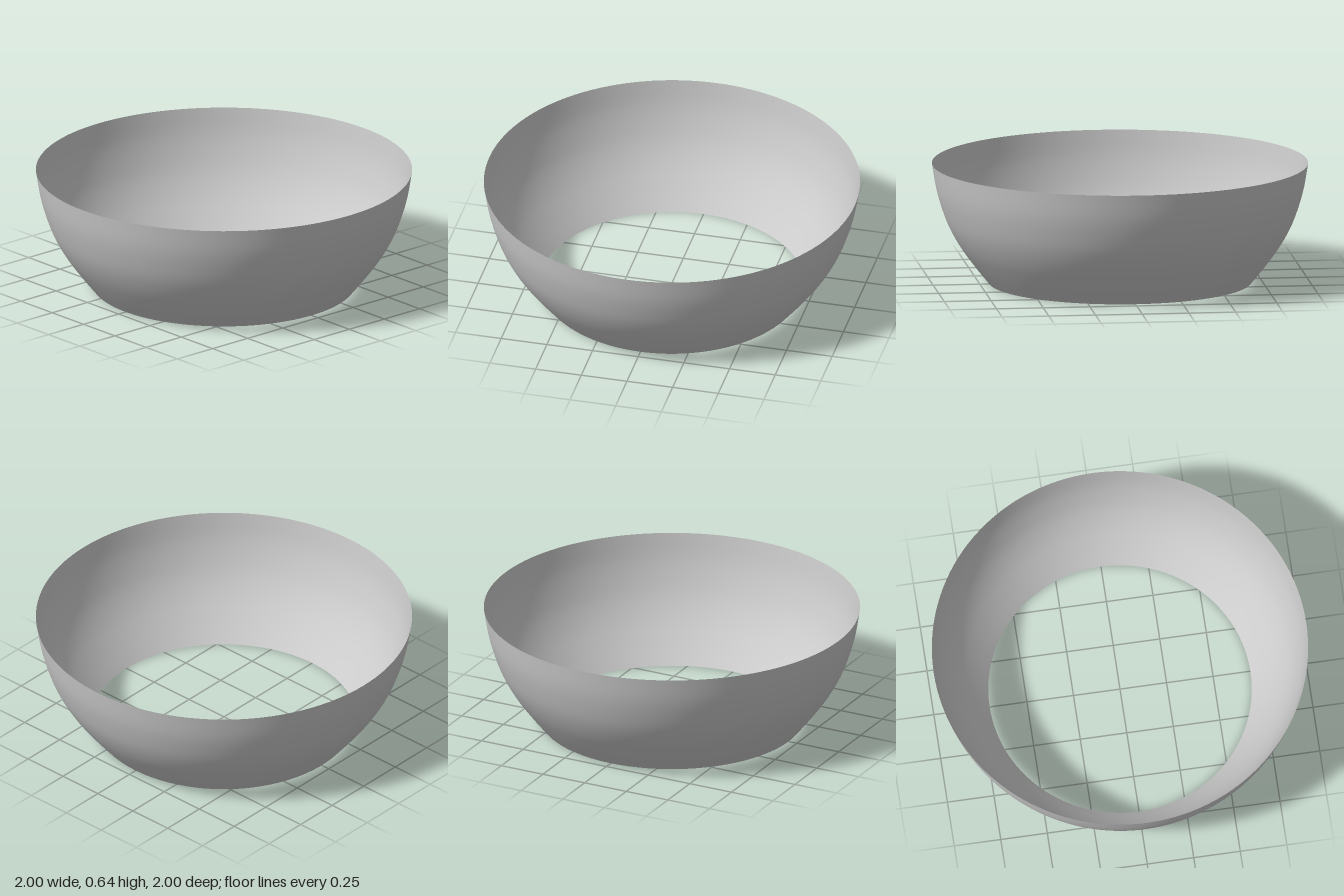
import * as THREE from 'three';

export function createModel() {
  const group = new THREE.Group();
  group.name = 'openBowl';

  // Wall profile from the open base to the rim: [radius, height]
  const profile = new THREE.SplineCurve([
    [0.70, 0], [0.78, 0.1], [0.852, 0.2], [0.908, 0.3],
    [0.947, 0.4], [0.978, 0.51], [1, 0.64],
  ].map(([r, y]) => new THREE.Vector2(r, y)));

  // Thin bowl wall, open at the top and bottom
  const wall = new THREE.Mesh(
    new THREE.LatheGeometry(profile.getPoints(32), 128),
    new THREE.MeshStandardMaterial({ color: 0xcccccc, side: THREE.DoubleSide }),
  );
  wall.name = 'bowlWall';
  group.add(wall);
  return group;
}
